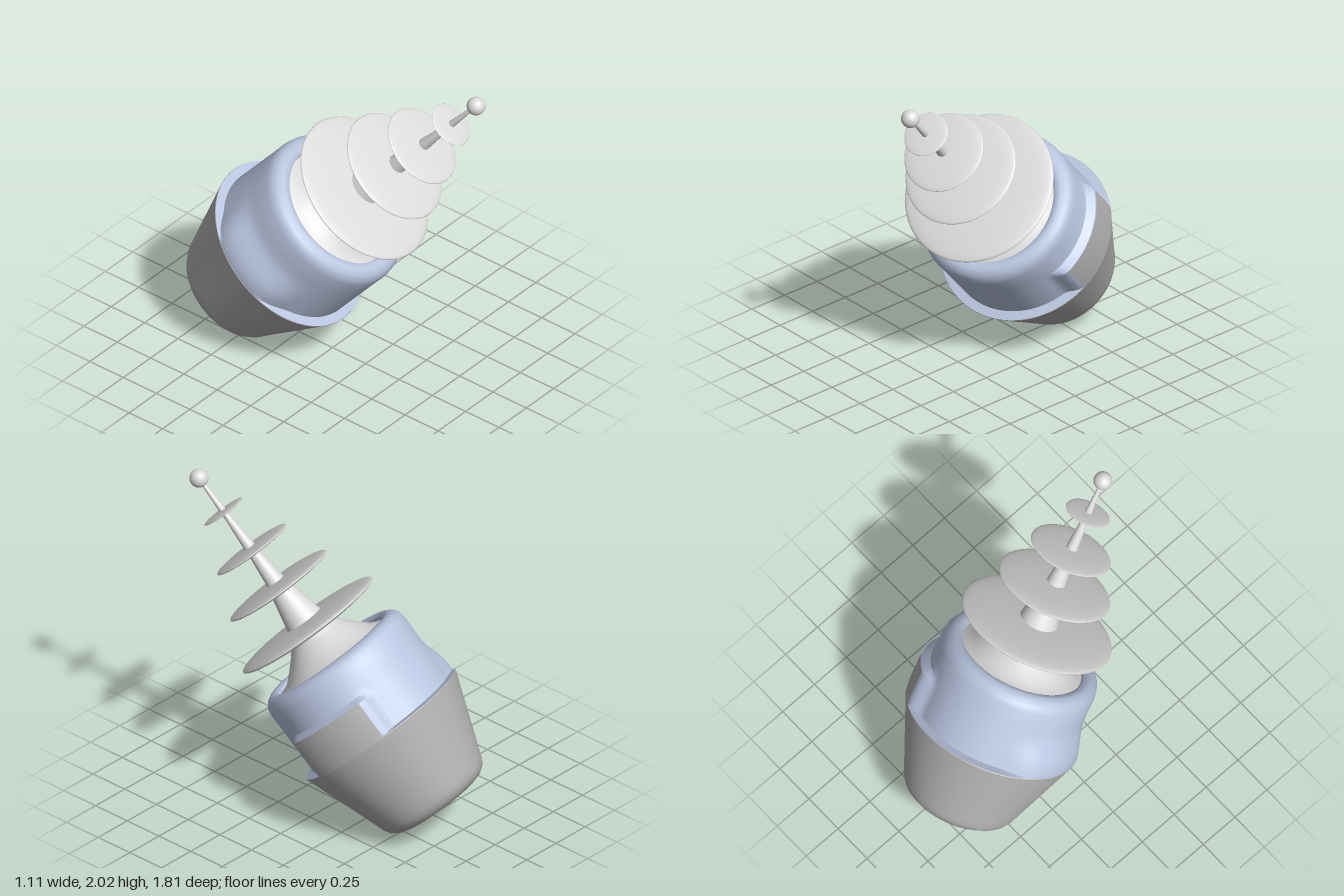
import * as THREE from 'three';
import { toCreasedNormals } from 'three/addons/utils/BufferGeometryUtils.js';

const material = (name, color, side = THREE.FrontSide) => {
  const m = new THREE.MeshStandardMaterial({ color, side });
  m.name = name;
  return m;
};
const points = (list) => list.map(([r, y]) => new THREE.Vector2(r, y));
const smooth = THREE.MathUtils.smoothstep;

export function createModel() {
  const cupGray = material('cup gray', 0xb0b0b0, THREE.DoubleSide);
  const paleGray = material('pale gray', 0xdcdcdc);
  const bandBlue = material('band blue', 0xbac6e0, THREE.DoubleSide);

  const group = new THREE.Group();
  const body = new THREE.Group();
  body.name = 'tiltedBody';
  group.add(body);
  const add = (name, geometry, mat, y = 0) => {
    const mesh = new THREE.Mesh(geometry, mat);
    mesh.name = name;
    mesh.position.y = y;
    body.add(mesh);
    return mesh;
  };
  const lathe = (list, segments = 72, ...arc) =>
    toCreasedNormals(new THREE.LatheGeometry(points(list), segments, ...arc), 0.6);

  // Tapered cup with a rounded foot
  add('cup', lathe([
    [0, -1.3], [0.26, -1.3], [0.3, -1.288], [0.335, -1.262], [0.355, -1.23],
    [0.37, -1.185], [0.537, -0.725], [0.535, -0.72],
  ]), cupGray);

  // Tab rising from the cup rim on one side
  const rad = Math.PI / 180;
  add('cupTab', lathe([[0.537, -0.727], [0.542, -0.65], [0.542, -0.478]], 20, 81 * rad, 57 * rad), cupGray);

  // Band with a rolled lip, pushed outwards under the tab and opposite it
  const band = new THREE.LatheGeometry(points([
    [0.535, -0.72], [0.48, -0.715], [0.48, -0.69], [0.48, -0.66], [0.48, -0.61], [0.48, -0.56],
    [0.48, -0.51], [0.48, -0.48], [0.48, -0.45], [0.48, -0.4], [0.482, -0.3],
    [0.475, -0.26], [0.455, -0.23], [0.425, -0.212], [0.395, -0.212], [0.375, -0.225], [0.365, -0.26],
  ]), 120);
  const pos = band.attributes.position;
  for (let i = 0; i < pos.count; i++) {
    const x = pos.getX(i), y = pos.getY(i), z = pos.getZ(i), r = Math.hypot(x, z);
    if (y < -0.718 || y > -0.41) continue;
    const angle = Math.atan2(z, x) / rad;
    const fromTab = Math.abs(angle + 19.5);
    const fromFlare = Math.abs(((angle - 185 + 540) % 360) - 180);
    const tab = (1 - smooth(fromTab, 28, 41)) * (1 - smooth(y, -0.482, -0.44));
    const flare = (1 - smooth(fromFlare, 18, 48)) * (1 - smooth(y, -0.67, -0.45));
    const k = (r + 0.056 * Math.max(tab, flare)) / r;
    pos.setXYZ(i, x * k, y, z * k);
  }
  add('band', toCreasedNormals(band, 0.6), bandBlue);

  // Bell-shaped neck inside the lip
  add('neck', lathe([
    [0.4, -0.25], [0.345, -0.235], [0.3, -0.21], [0.23, -0.14], [0.18, -0.085], [0.155, -0.05], [0.14, 0],
  ]), paleGray);

  // Lens-shaped discs: radius and height along the axis
  const discs = [[0.465, 0], [0.345, 0.288], [0.247, 0.55], [0.136, 0.827]];
  discs.forEach(([r, y], n) => {
    const profile = [];
    for (let i = 0; i <= 24; i++) {
      const a = -Math.PI / 2 + (i / 24) * Math.PI;
      profile.push([Math.max(0, r * Math.cos(a)), 0.085 * r * Math.sin(a)]);
    }
    add('disc' + (n + 1), new THREE.LatheGeometry(points(profile), 72), paleGray, y);
  });

  // Tapering rods between the discs: bottom radius, top radius, start, end
  [[0.125, 0.065, 0, 0.288], [0.06, 0.033, 0.288, 0.55], [0.037, 0.017, 0.55, 0.827], [0.022, 0.009, 0.827, 1.06]]
    .forEach(([r0, r1, y0, y1], n) => {
      add('rod' + (n + 1), new THREE.CylinderGeometry(r1, r0, y1 - y0, 32, 1, true), paleGray, (y0 + y1) / 2);
    });

  // Ball at the tip
  add('tipBall', new THREE.SphereGeometry(0.055, 32, 20), paleGray, 1.069);

  // Lean the whole body along its axis
  const axis = new THREE.Vector3(0.173, 0.746, 0.643).normalize();
  const front = new THREE.Vector3(0, -axis.z, axis.y).normalize();
  const sideways = new THREE.Vector3().crossVectors(axis, front);
  body.quaternion.setFromRotationMatrix(new THREE.Matrix4().makeBasis(sideways, axis, front));
  body.position.set(0.09, 1.15, 0.165);
  return group;
}
